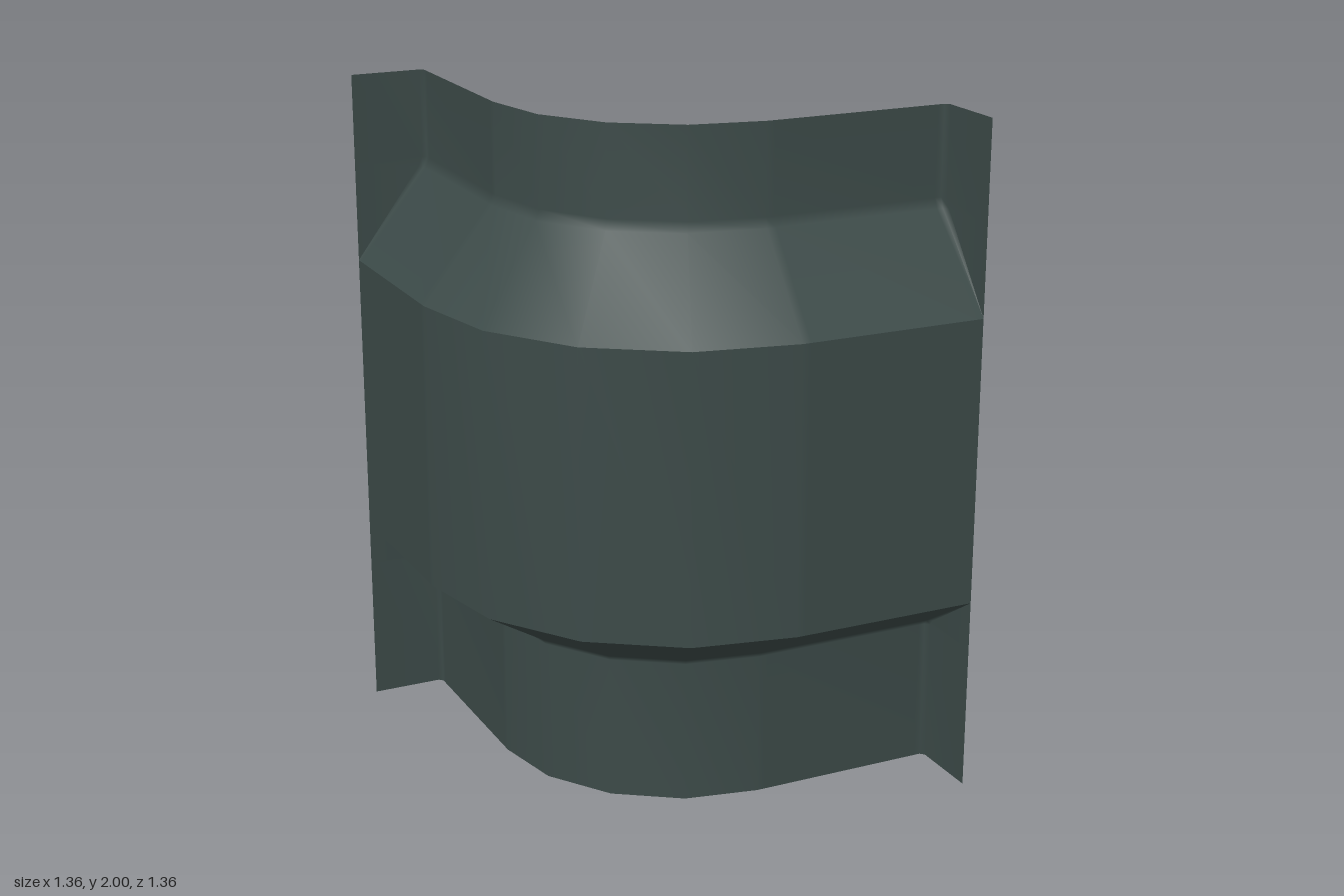
import * as THREE from 'three';

const HALF = 0.68;      // half of the footprint
const BEND = 0.11;      // bend centre is (BEND, -BEND)
const RADIUS = HALF + BEND;
const FILLET = 0.012;   // softened corner between wall and end flange

// Plan outline of the corner wall, pushed inward by d; flanged rows return to the outer line at both ends
function outline(d, flanged) {
  const f = flanged ? Math.min(FILLET, d) : 0;
  const x = -HALF + d;
  const half = [];
  if (flanged) half.push([-HALF, -HALF], [x - f, -HALF]);
  half.push([x, -HALF + f], [x, -HALF + f + 0.02], [x, -BEND - 0.025]);
  const r = RADIUS - d;
  for (let i = 0; i < 2; i++) {
    const a = (i * Math.PI) / 8;
    half.push([BEND - r * Math.cos(a), -BEND + r * Math.sin(a)]);
  }
  const middle = [BEND - r * Math.SQRT1_2, -BEND + r * Math.SQRT1_2];
  // The second half mirrors the first across the diagonal
  const mirrored = half.map(([px, pz]) => [-pz, -px]).reverse();
  return [...half, middle, ...mirrored];
}

// Skin a sheet through rows of [height, inset], listed from bottom to top
function sheet(name, rows, flanged, material) {
  const positions = [];
  const index = [];
  let n = 0;
  for (const [y, d] of rows) {
    const points = outline(d, flanged);
    n = points.length;
    for (const [x, z] of points) positions.push(x, y, z);
  }
  for (let r = 0; r < rows.length - 1; r++) {
    for (let c = 0; c < n - 1; c++) {
      const a = r * n + c;
      index.push(a, a + 1, a + n, a + 1, a + n + 1, a + n);
    }
  }
  const geometry = new THREE.BufferGeometry();
  geometry.setAttribute('position', new THREE.Float32BufferAttribute(positions, 3));
  geometry.setIndex(index);
  geometry.computeVertexNormals();
  const mesh = new THREE.Mesh(geometry, material);
  mesh.name = name;
  return mesh;
}

export function createModel() {
  const group = new THREE.Group();
  group.name = 'curvedCornerPanel';
  const slate = new THREE.MeshStandardMaterial({ color: 0x3c4a48, side: THREE.DoubleSide });
  slate.name = 'dark slate';

  // Recessed foot with its short slope and end flanges
  group.add(sheet('lowerRecess', [[0, 0.225], [0.43, 0.225], [0.447, 0.212], [0.58, 0]], true, slate));
  // Projecting middle band
  group.add(sheet('middleBand', [[0.58, 0], [1.435, 0]], false, slate));
  // Recessed head with its long slope and end flanges
  group.add(sheet('upperRecess', [[1.435, 0], [1.705, 0.212], [1.735, 0.225], [2, 0.225]], true, slate));
  return group;
}
